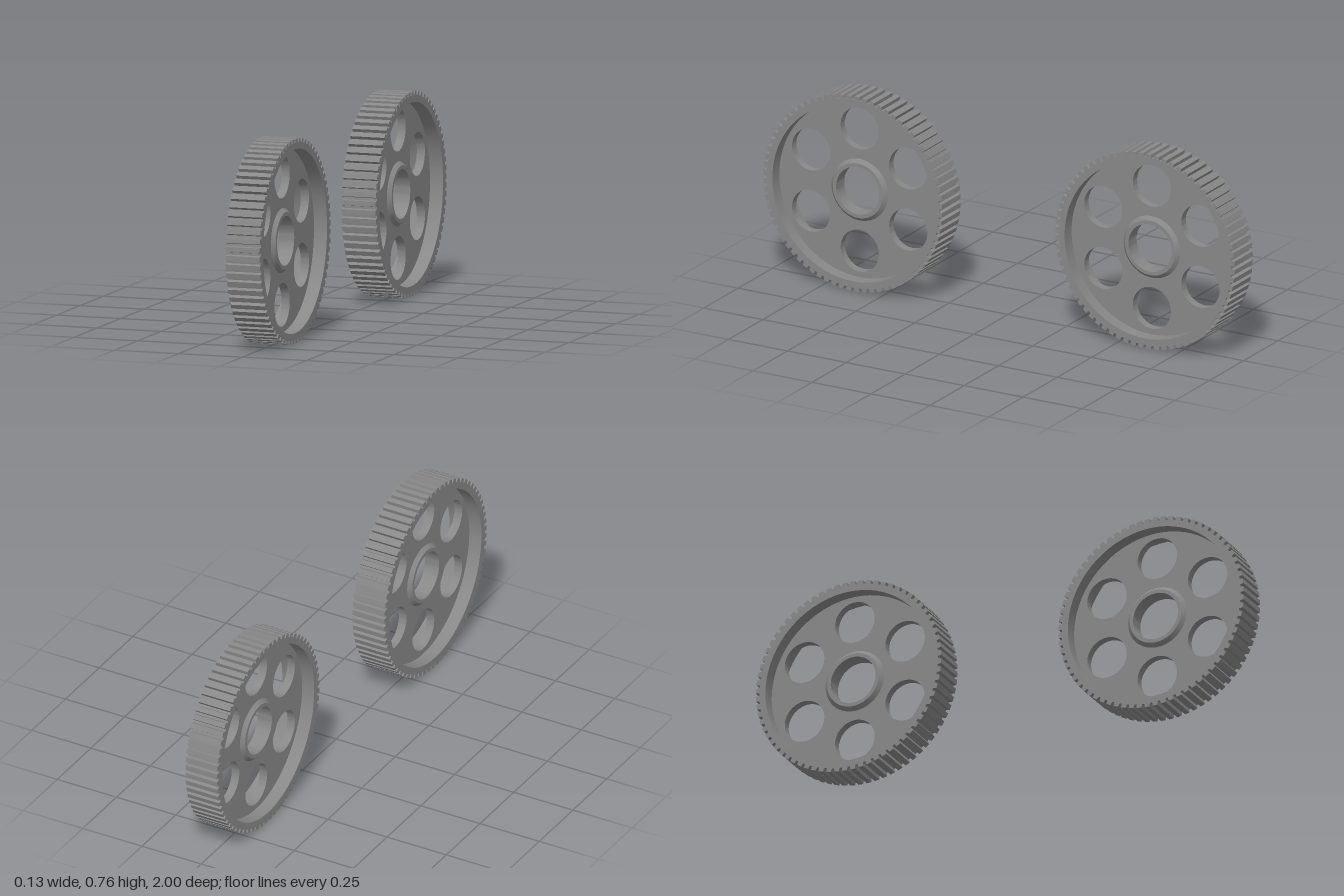
import * as THREE from 'three';
import { toCreasedNormals } from 'three/addons/utils/BufferGeometryUtils.js';

const TEETH = 72, TIP = 0.38, ROOT = 0.366, RIM_INNER = 0.341;
const HALF_WIDTH = 0.067, HALF_WEB = 0.016, HALF_HUB = 0.03;
const BORE = 0.092, HUB_OUTER = 0.12, HOLE = 0.081, HOLE_RING = 0.238;

const material = new THREE.MeshStandardMaterial({ color: 0x888888 });

function circle(Type, x, y, r) {
  return new Type().absarc(x, y, r, 0, Math.PI * 2, false);
}

// Extrude a flat outline symmetrically about x = 0, along the axle
function plate(shape, halfDepth) {
  const g = new THREE.ExtrudeGeometry(shape, { depth: halfDepth * 2, bevelEnabled: false, curveSegments: 36 });
  g.translate(0, 0, -halfDepth);
  g.rotateY(Math.PI / 2);
  return toCreasedNormals(g, 0.4);
}

// Toothed rim: trapezoid teeth around an open ring, with a gap at the very top
function rimGeometry() {
  const points = [];
  const pitch = Math.PI * 2 / TEETH;
  for (let i = 0; i < TEETH; i++) {
    for (const [offset, r] of [[0.14, ROOT], [0.22, TIP], [0.78, TIP], [0.86, ROOT]]) {
      const a = (i + offset) * pitch;
      points.push(new THREE.Vector2(Math.cos(a) * r, Math.sin(a) * r));
    }
  }
  const shape = new THREE.Shape(points);
  shape.holes.push(circle(THREE.Path, 0, 0, RIM_INNER));
  return plate(shape, HALF_WIDTH);
}

// Recessed web with six round lightening holes
function webGeometry() {
  const shape = circle(THREE.Shape, 0, 0, RIM_INNER + 0.003);
  shape.holes.push(circle(THREE.Path, 0, 0, BORE + 0.006));
  for (let i = 0; i < 6; i++) {
    const a = Math.PI / 2 + i * Math.PI / 3;
    shape.holes.push(circle(THREE.Path, Math.cos(a) * HOLE_RING, Math.sin(a) * HOLE_RING, HOLE));
  }
  return plate(shape, HALF_WEB);
}

// Hub sleeve with chamfered ends
function hubGeometry() {
  const profile = [
    [BORE, -HALF_HUB], [0.106, -HALF_HUB], [HUB_OUTER, -HALF_WEB],
    [HUB_OUTER, HALF_WEB], [0.106, HALF_HUB], [BORE, HALF_HUB], [BORE, -HALF_HUB],
  ].map(([r, y]) => new THREE.Vector2(r, y));
  const g = new THREE.LatheGeometry(profile, 64);
  g.rotateZ(-Math.PI / 2);
  return toCreasedNormals(g, 0.4);
}

export function createModel() {
  const model = new THREE.Group();
  model.name = 'gearPair';
  const parts = { toothedRim: rimGeometry(), web: webGeometry(), hub: hubGeometry() };

  // The same gear at front and back
  for (const [name, z] of [['frontGear', 0.62], ['backGear', -0.62]]) {
    const gear = new THREE.Group();
    gear.name = name;
    for (const [part, geometry] of Object.entries(parts)) {
      const mesh = new THREE.Mesh(geometry, material);
      mesh.name = part;
      gear.add(mesh);
    }
    gear.position.set(0, TIP, z);
    model.add(gear);
  }
  return model;
}
